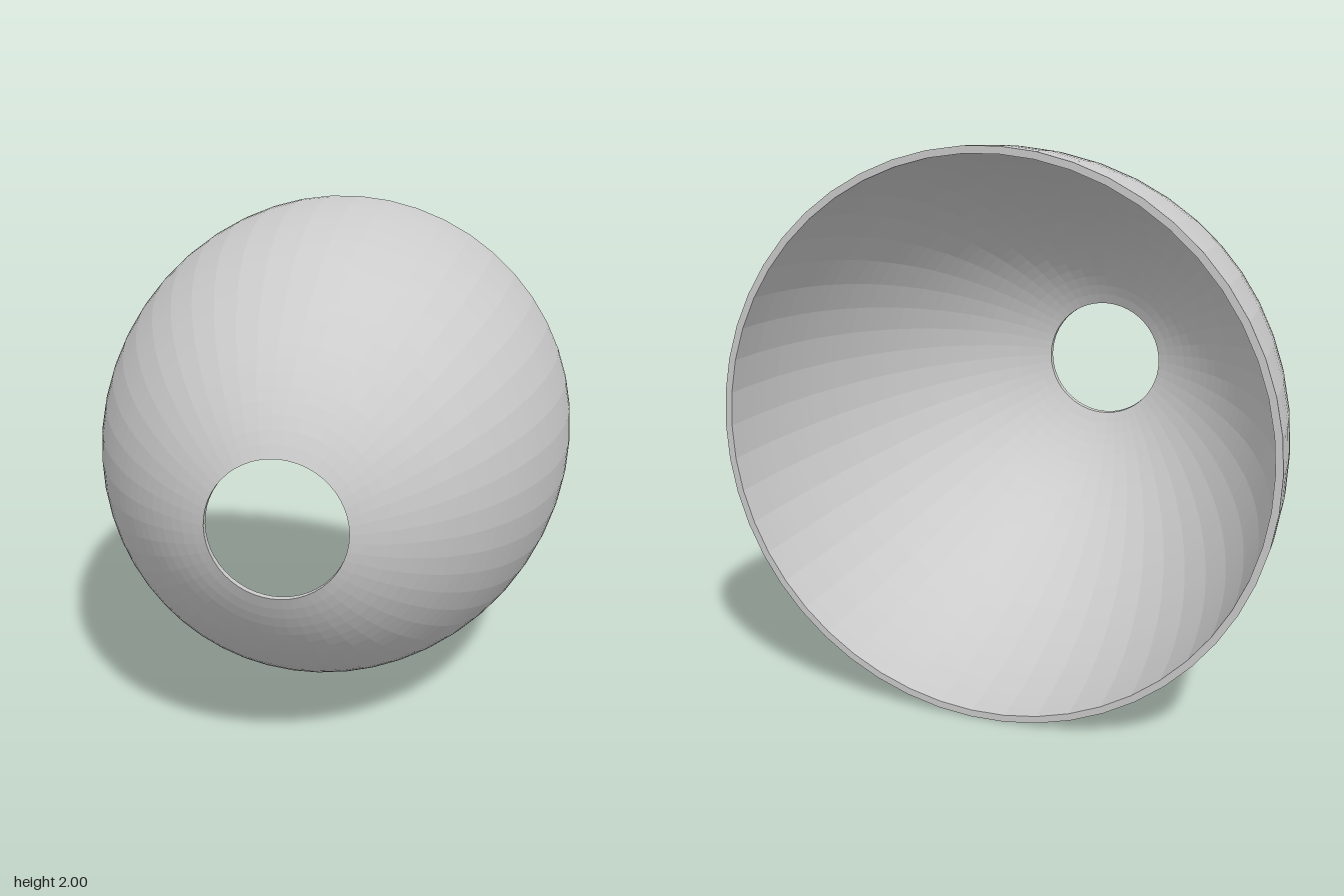
import * as THREE from 'three';

const SIDES = 50, RINGS = 28;
const HALF = 0.75, HOLE = 0.25, WALL = 0.025;
const LIFT = Math.cos(Math.PI / SIDES); // rests on a flat facet
const RISE = 0.025; // the front hole sits slightly above the axis

// Quarter-ellipse profile from the wide back rim to the front hole
function arc(radius, length) {
  const end = Math.acos(HOLE / radius);
  return Array.from({ length: RINGS + 1 }, (_, i) => {
    const t = end * i / RINGS;
    return new THREE.Vector2(radius * Math.cos(t), -HALF + length * Math.sin(t));
  });
}

export function createModel() {
  const group = new THREE.Group();
  group.name = 'domeShade';

  // Closed wall section: outer skin, hole edge, inner skin, back rim
  const length = 2 * HALF / Math.sqrt(1 - HOLE * HOLE);
  const outer = arc(1, length);
  const inner = arc(1 - WALL, length - WALL).reverse();
  const geometry = new THREE.LatheGeometry([...outer, ...inner, outer[0].clone()], SIDES, Math.PI / 2);
  geometry.rotateX(Math.PI / 2);

  // Lean the axis gently upward while keeping both ends vertical
  const p = geometry.attributes.position;
  for (let i = 0; i < p.count; i++) {
    p.setY(i, p.getY(i) + LIFT + RISE * (p.getZ(i) + HALF) / (2 * HALF));
  }
  geometry.computeVertexNormals();

  const shell = new THREE.Mesh(geometry, new THREE.MeshStandardMaterial({ color: 0xcccccc, flatShading: true }));
  shell.name = 'shell';
  group.add(shell);
  return group;
}
